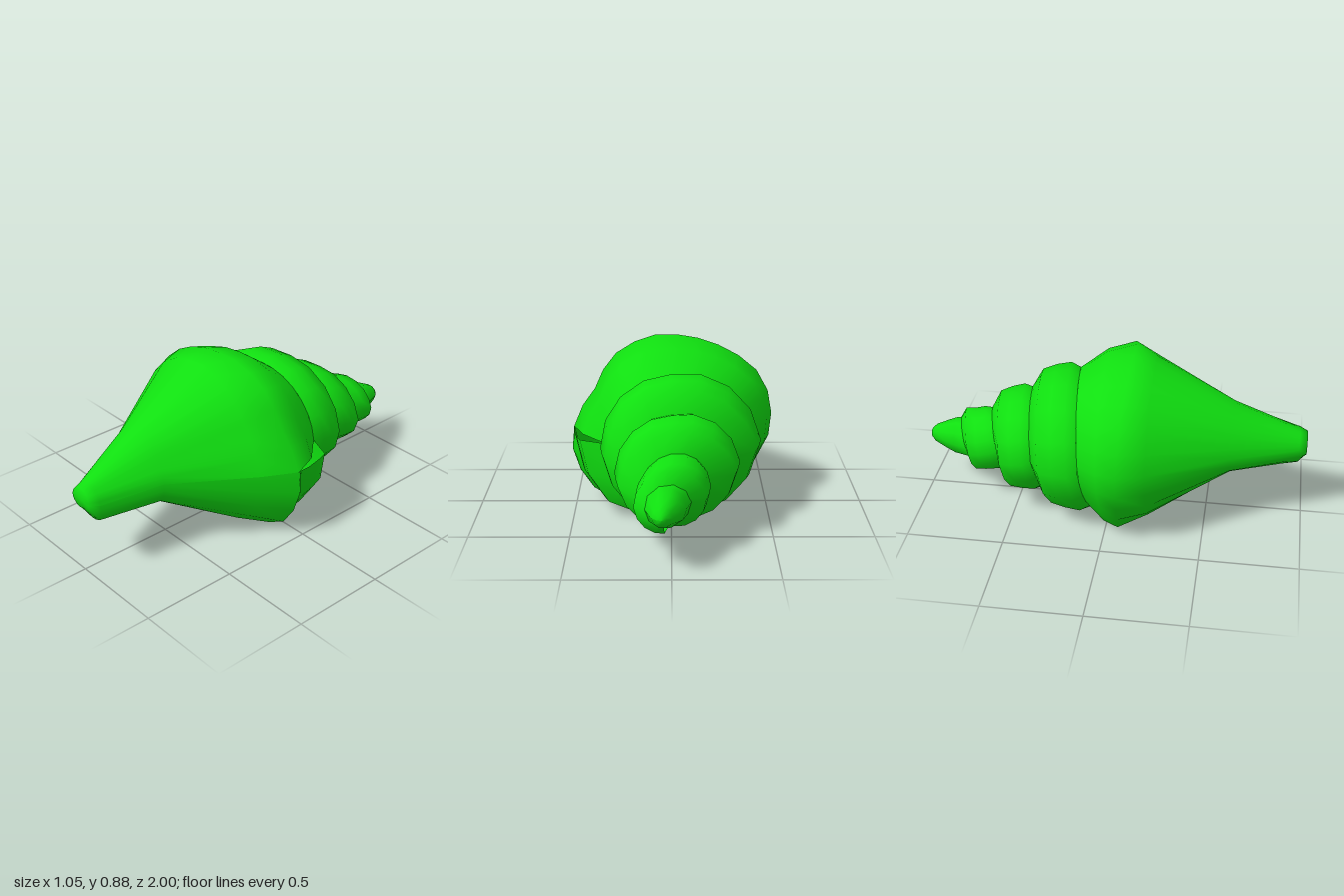
import * as THREE from 'three';

// linear interpolation through [key, value] pairs
function lerpTable(table, x) {
  if (x <= table[0][0]) return table[0][1];
  for (let i = 1; i < table.length; i++) {
    const [x0, y0] = table[i - 1], [x1, y1] = table[i];
    if (x <= x1) return y0 + (y1 - y0) * (x - x0) / (x1 - x0);
  }
  return table[table.length - 1][1];
}

// turn n counts whole coils; n integer lies on the +x side
const sutureZ = n => lerpTable([[-1, -1], [0, -0.88], [1, -0.70], [2, -0.48], [2.5, -0.38], [3, -0.23], [3.5, -0.12], [4, 0.03]], n);
const coilRadius = n => lerpTable([
  [-1.25, 0.07], [-0.5, 0.09], [0, 0.16], [0.5, 0.185], [0.75, 0.18], [1, 0.275], [1.25, 0.255], [1.5, 0.335],
  [1.75, 0.29], [2, 0.355], [2.25, 0.36], [2.5, 0.455], [2.75, 0.395], [2.875, 0.49], [3, 0.505]], n);
// radius of the seam that ends coil n and starts coil n + 1; it fades out on the last coil
const seamRadius = n => coilRadius(n) * lerpTable([[2.6, 0.93], [3, 1]], n);
const axisX = z => lerpTable([[-1, 0.045], [-0.85, 0.03], [-0.7, 0], [0.6, 0], [1, 0.02]], z);
const axisY = z => lerpTable([[-1, 0.285], [-0.75, 0.29], [-0.55, 0.345], [-0.3, 0.39], [-0.1, 0.4], [1, 0.41]], z);

// widest station of the body and body radii, by angle in degrees
const peakZ = [[0, 0.05], [90, 0.11], [180, 0.08], [270, 0.06], [360, 0.05]];
const peakRadius = [[0, 0.51], [26, 0.445], [53, 0.48], [83, 0.485], [99, 0.475], [126, 0.495], [144, 0.53], [156, 0.54],
  [183, 0.525], [204, 0.48], [233, 0.5], [270, 0.4], [313, 0.535], [338, 0.54], [347, 0.535], [360, 0.51]];
const canalRadii = [
  { z: 0.22, r: [[0, 0.42], [30, 0.375], [53, 0.4], [90, 0.44], [140, 0.48], [180, 0.49], [225, 0.42], [270, 0.34], [315, 0.43], [360, 0.42]] },
  { z: 0.62, r: [[0, 0.16], [45, 0.165], [90, 0.235], [135, 0.235], [180, 0.23], [225, 0.155], [270, 0.115], [320, 0.17], [360, 0.16]] },
  { z: 0.96, r: [[0, 0.09], [90, 0.085], [180, 0.09], [270, 0.1], [320, 0.12], [360, 0.09]] },
  { z: 1.0, r: [[0, 0.05], [90, 0.07], [180, 0.08], [270, 0.035], [360, 0.05]] },
];

// profile across one spire coil: steep shoulder, gentle side, tucked-in seam
function spireProfile(n) {
  const z0 = sutureZ(n), z1 = sutureZ(n + 1), r = coilRadius(n);
  return [[0, seamRadius(n - 1)], [0.21, r * 0.92], [0.5, r * 0.97], [0.8, r], [1, seamRadius(n)]]
    .map(([t, rad]) => [z0 + (z1 - z0) * t, rad]);
}

// profile of the last coil, running from its seam to the tip of the canal
function bodyProfile(n) {
  const deg = (n - 3) * 360;
  const z0 = sutureZ(n), r0 = seamRadius(n - 1);
  const z1 = lerpTable(peakZ, deg), r1 = lerpTable(peakRadius, deg);
  return [[z0, r0], [z0 + (z1 - z0) * 0.5, r0 + (r1 - r0) * 0.7], [z1, r1],
    ...canalRadii.map(s => [s.z, lerpTable(s.r, deg)]), [1, 0]];
}

// pointed apex, the same all round
const apexProfile = () => [[-1, 0], [-0.995, 0.022], [-0.97, 0.048], [-0.9, 0.08], [-0.85, 0.1], [-0.75, 0.11]];

// skin swept around the axis from turn n0 to n1
function coilGeometry(profile, n0, n1, steps) {
  const positions = [], index = [];
  let cols = 0;
  for (let i = 0; i <= steps; i++) {
    const n = n0 + (n1 - n0) * i / steps, a = n * Math.PI * 2;
    const points = profile(n);
    cols = points.length;
    for (const [z, r] of points) {
      positions.push(axisX(z) + r * Math.cos(a), Math.max(0, axisY(z) + r * Math.sin(a)), z);
    }
  }
  for (let i = 0; i < steps; i++) {
    for (let j = 0; j < cols - 1; j++) {
      const a = i * cols + j, b = a + cols;
      index.push(a, b, b + 1, a, b + 1, a + 1);
    }
  }
  const g = new THREE.BufferGeometry();
  g.setAttribute('position', new THREE.Float32BufferAttribute(positions, 3));
  g.setIndex(index);
  g.computeVertexNormals();
  return g;
}

export function createModel() {
  const group = new THREE.Group();
  group.name = 'spiralShell';
  const green = new THREE.MeshStandardMaterial({ color: 0x10e010, side: THREE.DoubleSide });
  green.name = 'shellGreen';

  const addPart = (name, ...sweep) => {
    const mesh = new THREE.Mesh(coilGeometry(...sweep), green);
    mesh.name = name;
    group.add(mesh);
  };
  addPart('apex', apexProfile, 0, 1, 10);
  // coils of the spire, widening towards the body
  addPart('spire', spireProfile, -0.25, 3, 52);
  // last coil, closed round the canal
  addPart('bodyWhorl', bodyProfile, 3, 4, 27);
  return group;
}
